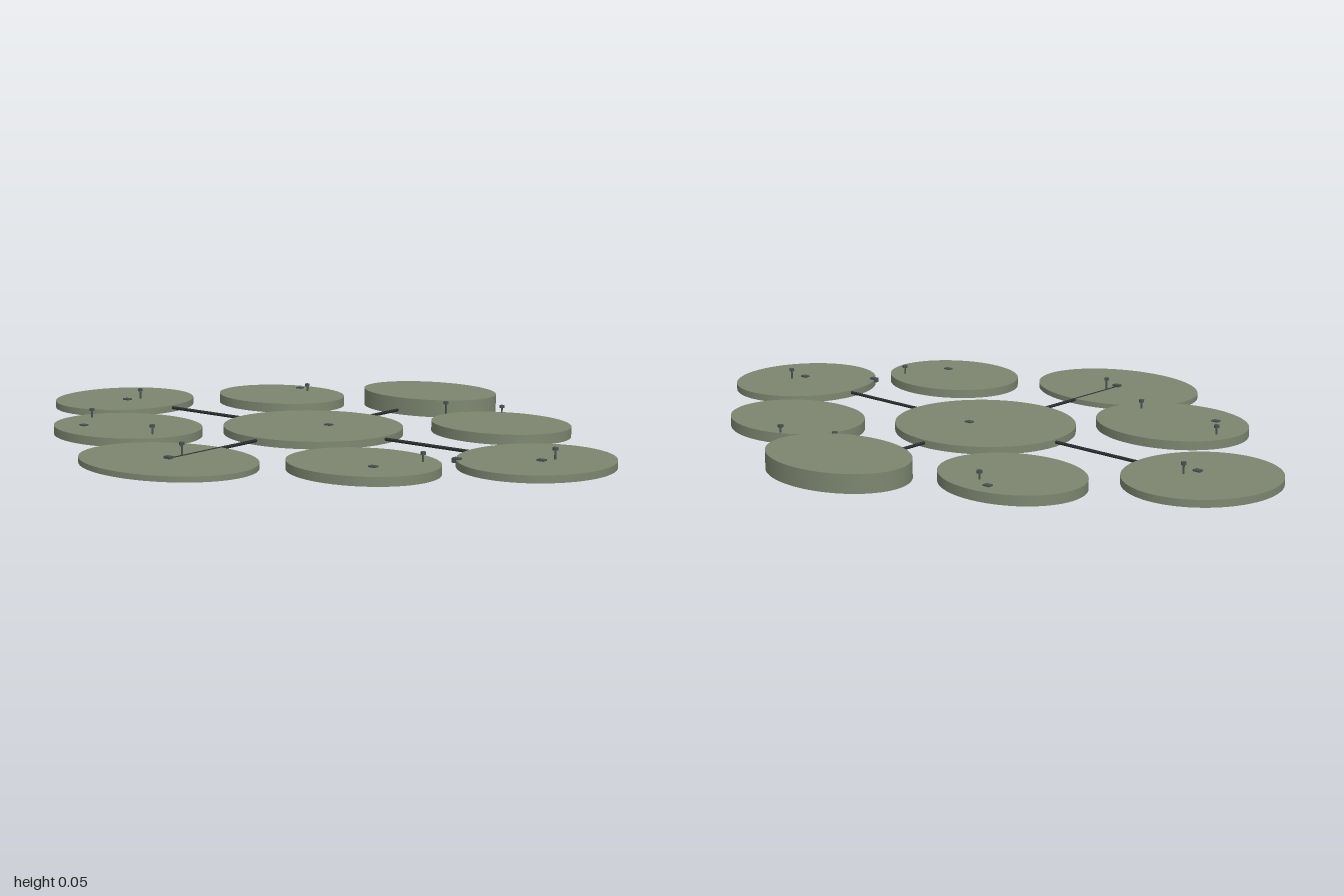
import * as THREE from 'three';

const stone = new THREE.MeshStandardMaterial({ name: 'sageGreen', color: 0x7d8670 });
const dark = new THREE.MeshStandardMaterial({ name: 'darkRod', color: 0x2b2d2e });
const metal = new THREE.MeshStandardMaterial({ name: 'slateGrey', color: 0x4a5150 });

export function createModel() {
  const model = new THREE.Group();
  model.name = 'islandCluster';

  function add(parent, name, geometry, material, x, y, z) {
    const mesh = new THREE.Mesh(geometry, material);
    mesh.name = name;
    mesh.position.set(x, y, z);
    parent.add(mesh);
    return mesh;
  }

  // Oval platforms: name, x, z, x radius, z radius, height
  const platforms = [
    ['centrePlatform', 0, -0.039, 0.273, 0.258, 0.022],
    ['frontPlatform', 0, 0.582, 0.274, 0.212, 0.016],
    ['backPlatform', 0, -0.628, 0.229, 0.171, 0.054],
    ['rightPlatform', -0.787, -0.036, 0.213, 0.23, 0.021],
    ['leftPlatform', 0.787, -0.036, 0.213, 0.23, 0.021],
    ['backRightPlatform', -0.421, -0.389, 0.218, 0.18, 0.029],
    ['backLeftPlatform', 0.434, -0.389, 0.218, 0.18, 0.031],
    ['frontRightPlatform', -0.408, 0.329, 0.237, 0.2, 0.026],
    ['frontLeftPlatform', 0.464, 0.314, 0.221, 0.188, 0.026],
  ];
  for (const [name, x, z, rx, rz, h] of platforms) {
    const disc = new THREE.CylinderGeometry(1, 1, h, 64).scale(rx, 1, rz);
    add(model, name, disc, stone, x, h / 2, z);
  }

  // Rods joining the centre to the four main platforms
  const rodX = new THREE.CylinderGeometry(0.005, 0.005, 1.5, 8).rotateZ(Math.PI / 2);
  add(model, 'crossRod', rodX, dark, 0, 0.013, -0.037);
  const rodZ = new THREE.CylinderGeometry(0.005, 0.005, 1.2, 8).rotateX(Math.PI / 2);
  add(model, 'lengthRod', rodZ, dark, 0, 0.013, -0.02);

  // Capped posts
  const posts = [
    [-0.393, -0.487], [0.166, -0.487], [0.337, -0.54], [-0.743, -0.062], [0.829, -0.062],
    [0.591, 0.217], [-0.588, 0.302], [-0.251, 0.385], [0, 0.527],
  ];
  const stem = new THREE.CylinderGeometry(0.003, 0.003, 0.034, 8);
  const cap = new THREE.CylinderGeometry(0.008, 0.008, 0.008, 10);
  for (const [x, z] of posts) {
    const post = new THREE.Group();
    post.name = 'post';
    post.position.set(x, 0, z);
    add(post, 'postStem', stem, metal, 0, 0.031, 0);
    add(post, 'postCap', cap, metal, 0, 0.05, 0);
    model.add(post);
  }

  // Small crates: x, z, top height
  const crates = [
    [-0.449, -0.516, 0.033], [-0.759, -0.019, 0.026], [0.813, -0.019, 0.026], [0.626, 0.11, 0.026],
    [0.53, 0.356, 0.03], [-0.505, 0.415, 0.03], [0, 0.58, 0.023], [0.035, -0.07, 0.026],
  ];
  const crate = new THREE.BoxGeometry(0.022, 0.014, 0.017);
  for (const [x, z, top] of crates) add(model, 'crate', crate, metal, x, top - 0.007, z);

  return model;
}
